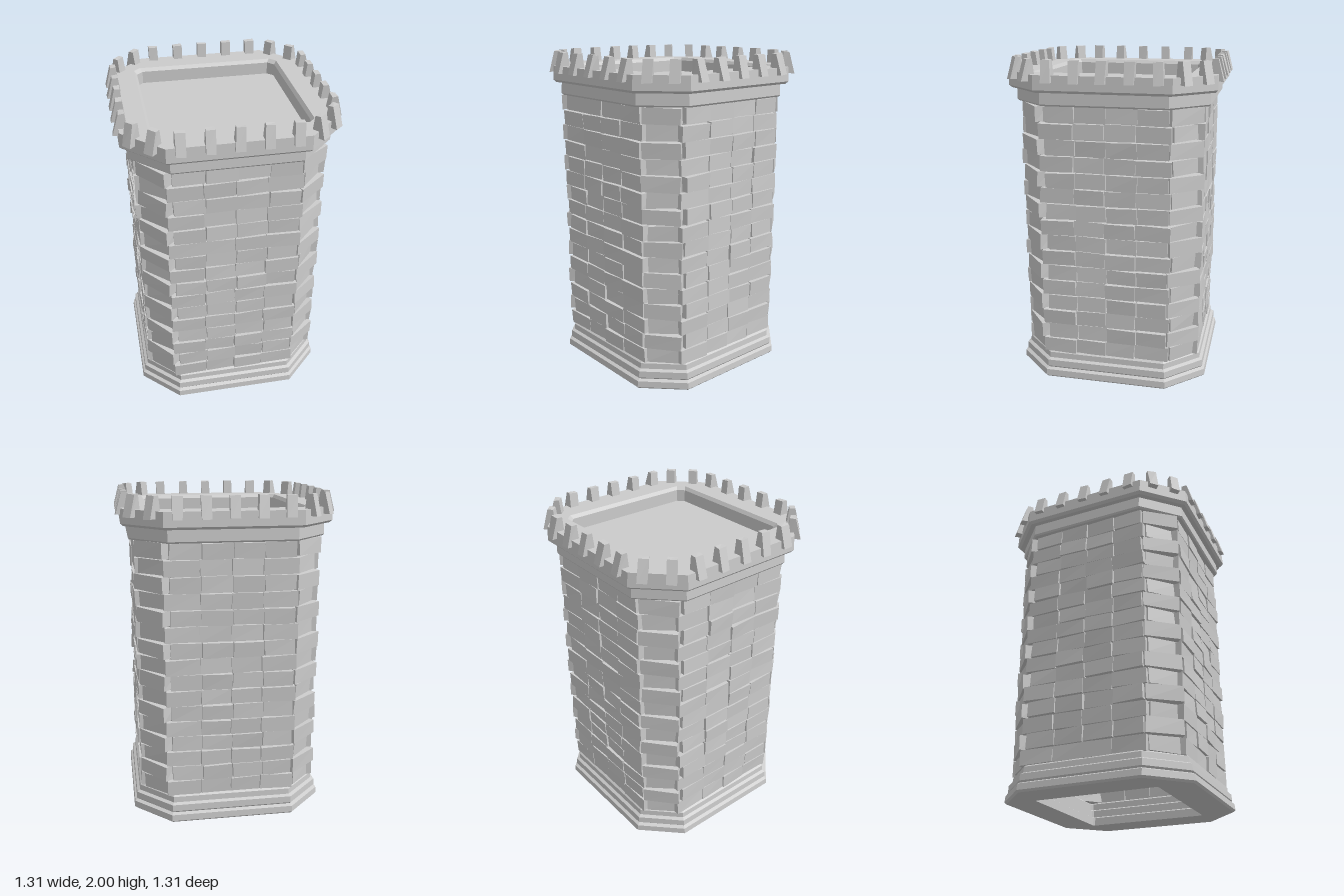
import * as THREE from 'three';
import { mergeGeometries } from 'three/addons/utils/BufferGeometryUtils.js';

// Small seeded generator, returns -1..1
let seed = 7;
const rnd = () => {
  seed = (seed * 16807) % 2147483647;
  return (seed / 2147483647) * 2 - 1;
};

const stone = new THREE.MeshStandardMaterial({ color: 0xcccccc, flatShading: true });

// Square outline with cut corners: half = half width, flat = half length of the straight side
const outline = (half, flat) => [
  [half, -flat], [half, flat], [flat, half], [-flat, half],
  [-half, flat], [-half, -flat], [-flat, -half], [flat, -half],
];

// Closed ring from [half, flat, y] sections: up the outside, inward, down the inside
function ring(name, sections) {
  const pos = [], idx = [], n = sections.length;
  for (const [half, flat, y] of sections)
    for (const [x, z] of outline(half, flat)) pos.push(x, y, z);
  for (let j = 0; j < n; j++)
    for (let i = 0; i < 8; i++) {
      const a = j * 8 + i, b = j * 8 + (i + 1) % 8;
      const c = ((j + 1) % n) * 8 + i, d = ((j + 1) % n) * 8 + (i + 1) % 8;
      idx.push(a, c, b, b, c, d);
    }
  const g = new THREE.BufferGeometry();
  g.setAttribute('position', new THREE.Float32BufferAttribute(pos, 3));
  g.setIndex(idx);
  const flatGeometry = g.toNonIndexed();
  flatGeometry.computeVertexNormals();
  const mesh = new THREE.Mesh(flatGeometry, stone);
  mesh.name = name;
  return mesh;
}

// Box whose eight corners are moved by a small amount; shape() may alter each corner first
function roughBox(w, h, d, jitter, shape) {
  const g = new THREE.BoxGeometry(w, h, d).toNonIndexed();
  const p = g.attributes.position, v = new THREE.Vector3();
  const offsets = Array.from({ length: 8 }, () =>
    new THREE.Vector3(rnd() * jitter, rnd() * jitter, rnd() * jitter * 0.5));
  for (let i = 0; i < p.count; i++) {
    v.fromBufferAttribute(p, i);
    const k = (v.x > 0 ? 1 : 0) + (v.y > 0 ? 2 : 0) + (v.z > 0 ? 4 : 0);
    if (shape) shape(v);
    v.add(offsets[k]);
    p.setXYZ(i, v.x, v.y, v.z);
  }
  g.computeVertexNormals();
  return g;
}

function merged(name, list) {
  const mesh = new THREE.Mesh(mergeGeometries(list), stone);
  mesh.name = name;
  return mesh;
}

export function createModel() {
  seed = 7;
  const tower = new THREE.Group();
  tower.name = 'tower';

  // Stepped hollow plinth, with a nearly square opening inside
  tower.add(ring('plinth', [
    [0.59, 0.375, 0], [0.602, 0.38, 0.012], [0.598, 0.38, 0.05], [0.578, 0.37, 0.06],
    [0.586, 0.375, 0.07], [0.583, 0.375, 0.11], [0.565, 0.365, 0.12],
    [0.562, 0.365, 0.155], [0.55, 0.36, 0.165],
    [0.44, 0.425, 0.165], [0.425, 0.41, 0.155], [0.425, 0.41, 0.115], [0.405, 0.395, 0.105],
    [0.405, 0.395, 0.06], [0.385, 0.375, 0.05], [0.385, 0.375, 0],
  ]));

  // Mortar core behind the bricks
  tower.add(ring('mortarCore', [
    [0.53, 0.355, 0.12], [0.53, 0.355, 1.78], [0.465, 0.42, 1.78], [0.465, 0.42, 0.12],
  ]));

  // Brick courses: four bricks per side, corners alternately recessed and projecting
  const rows = 16, rowHeight = 1.57 / rows, bricks = [], cornerBricks = [];
  for (let r = 0; r < rows; r++) {
    const y = 0.16 + (r + 0.5) * rowHeight, odd = r % 2;
    for (let side = 0; side < 4; side++) {
      const turn = side * Math.PI / 2;
      for (let c = 0; c < 4; c++) {
        const end = c === 0 || c === 3 ? (odd ? 0 : 0.025) : 0;
        const g = roughBox(0.182 + end, rowHeight - 0.006, 0.11, 0.003);
        g.rotateX(rnd() * 0.06);
        g.rotateY(rnd() * 0.04);
        g.rotateZ(rnd() * 0.02);
        const x = (c - 1.5) * 0.186 + Math.sign(c - 1.5) * end / 2;
        g.translate(x + (odd ? 0.005 : -0.005), y, 0.501 + rnd() * 0.006);
        bricks.push(g.rotateY(turn));
      }
      const corner = roughBox(odd ? 0.225 : 0.19, rowHeight - 0.006, 0.09, 0.004);
      corner.rotateX(rnd() * 0.06);
      corner.rotateY((odd ? -0.1 : 0.03) + rnd() * 0.04);
      corner.translate(rnd() * 0.006, y, odd ? 0.63 : 0.61);
      cornerBricks.push(corner.rotateY(turn + Math.PI / 4));
    }
  }
  tower.add(merged('wallBricks', bricks), merged('cornerBricks', cornerBricks));

  // Cornice bands with the sunken roof well inside
  tower.add(ring('lowerCornice', [
    [0.578, 0.37, 1.73], [0.586, 0.375, 1.74], [0.582, 0.375, 1.82],
    [0.46, 0.42, 1.82], [0.46, 0.42, 1.73],
  ]));
  tower.add(ring('parapet', [
    [0.612, 0.39, 1.81], [0.627, 0.4, 1.825], [0.622, 0.4, 1.91],
    [0.464, 0.425, 1.91], [0.448, 0.41, 1.89], [0.446, 0.41, 1.81],
  ]));

  // Roof floor
  const floor = new THREE.Mesh(new THREE.BoxGeometry(0.94, 0.03, 0.94), stone);
  floor.name = 'roofFloor';
  floor.position.y = 1.8;
  tower.add(floor);

  // Merlons: narrow top, slight slope inside, long slope out to a wider foot
  const merlons = [];
  const addMerlon = (along, out, angle) => {
    const g = roughBox(0.056, 0.126, 0.084, 0.003, (v) => {
      if (v.y > 0) v.z = v.z > 0 ? 0.006 : -0.028;
    });
    g.rotateY(rnd() * 0.08);
    g.rotateZ(rnd() * 0.05);
    g.translate(along, 1.932, out);
    merlons.push(g.rotateY(angle));
  };
  for (let side = 0; side < 4; side++) {
    const turn = side * Math.PI / 2;
    for (let i = -2; i <= 2; i++) addMerlon(i * 0.16, 0.611, turn);
    for (const s of [-1, 1]) addMerlon(s * 0.075, 0.722, turn + Math.PI / 4);
  }
  tower.add(merged('merlons', merlons));

  return tower;
}
